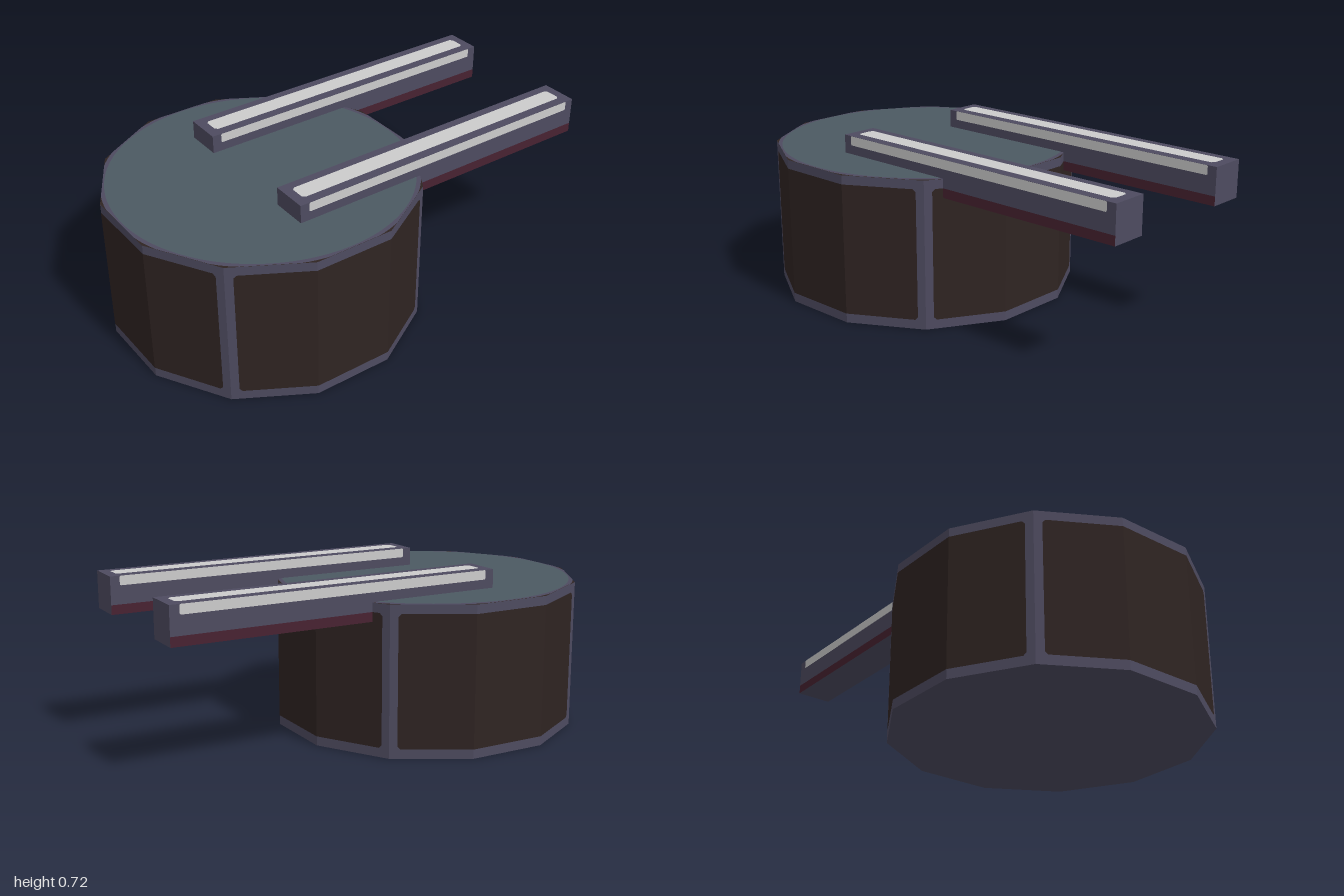
import * as THREE from 'three';

const mat = (name, color) => new THREE.MeshStandardMaterial({ name, color });

export function createModel() {
  const frame = mat('purpleGreyFrame', 0x4e4b60);
  const brown = mat('darkBrownPanel', 0x2f2422);
  const slate = mat('slateTop', 0x4c5962);
  const light = mat('lightStripe', 0xcccccc);
  const maroon = mat('maroonTrim', 0x482231);

  const root = new THREE.Group();
  root.name = 'drumWithRails';
  const add = (parent, name, geo, material, x = 0, y = 0, z = 0) => {
    const m = new THREE.Mesh(geo, material);
    m.name = name;
    m.position.set(x, y, z);
    parent.add(m);
    return m;
  };

  // Twelve-sided drum, flat faces toward the axes
  const drum = new THREE.Group();
  drum.name = 'drum';
  drum.position.z = 0.36;
  root.add(drum);
  const apothem = 0.639, height = 0.638;
  const radius = apothem / Math.cos(Math.PI / 12);
  const body = new THREE.CylinderGeometry(radius, radius, height, 12, 1, false, Math.PI / 12).toNonIndexed();
  body.computeVertexNormals();
  add(drum, 'drumBody', body, [frame, brown, frame], 0, height / 2, 0);

  // Round lid layers, clipped by the drum's outline
  const lid = (maxR) => {
    const pts = [];
    for (let i = 0; i < 144; i++) {
      const a = (i / 144) * Math.PI * 2;
      const step = Math.PI / 6;
      const off = a - Math.round(a / step) * step;
      const r = Math.min(maxR, apothem / Math.cos(off));
      pts.push(new THREE.Vector2(r * Math.cos(a), r * Math.sin(a)));
    }
    return new THREE.ShapeGeometry(new THREE.Shape(pts)).rotateX(-Math.PI / 2);
  };
  add(drum, 'lidRim', lid(0.65), frame, 0, 0.639, 0);
  add(drum, 'lidTop', lid(0.632), slate, 0, 0.64, 0);

  // Four wall panels, each folded over three faces, with clipped corners
  const half = 0.64 * Math.tan(Math.PI / 12), corner = 0.64 / Math.cos(Math.PI / 12) * Math.SQRT1_2;
  const along = (d) => [-corner + d * Math.cos(Math.PI / 6), corner + d * 0.5];
  const leftCols = [[...along(0.034), 0.012], [...along(0.046), 0], [-half, 0.64, 0]];
  const cols = [...leftCols, ...leftCols.slice().reverse().map(([x, z, c]) => [-x, z, c])];
  const verts = [];
  for (let i = 0; i < cols.length - 1; i++) {
    const [x0, z0, c0] = cols[i], [x1, z1, c1] = cols[i + 1];
    const bl = [x0, 0.04 + c0, z0], tl = [x0, 0.6 - c0, z0];
    const br = [x1, 0.04 + c1, z1], tr = [x1, 0.6 - c1, z1];
    verts.push(...bl, ...br, ...tr, ...bl, ...tr, ...tl);
  }
  const panel = new THREE.BufferGeometry();
  panel.setAttribute('position', new THREE.Float32BufferAttribute(verts, 3));
  panel.computeVertexNormals();
  for (let q = 0; q < 4; q++) add(drum, 'wallPanel', panel, brown).rotation.y = q * Math.PI / 2;

  // Flat stripe with small clipped corners, facing +z
  const stripe = (w, h, c) => {
    const x = w / 2, y = h / 2;
    return new THREE.ShapeGeometry(new THREE.Shape([
      [-x + c, -y], [x - c, -y], [x, -y + c], [x, y - c],
      [x - c, y], [-x + c, y], [-x, y - c], [-x, -y + c],
    ].map(([a, b]) => new THREE.Vector2(a, b))));
  };
  const topStripe = stripe(0.08, 1.36, 0.012).rotateX(-Math.PI / 2);
  const sideStripe = stripe(1.36, 0.04, 0.004);

  // Two rails reaching out behind the drum
  for (const s of [1, -1]) {
    const rail = new THREE.Group();
    rail.name = s > 0 ? 'leftRail' : 'rightRail';
    rail.position.set(s * 0.32, 0, -0.28);
    root.add(rail);
    add(rail, 'railBeam', new THREE.BoxGeometry(0.16, 0.119, 1.44), frame, 0, 0.6595, 0);
    add(rail, 'railTrim', new THREE.BoxGeometry(0.16, 0.04, 1.44),
      [maroon, maroon, frame, frame, frame, frame], 0, 0.58, 0);
    add(rail, 'topStripe', topStripe, light, 0, 0.7205, 0);
    for (const e of [1, -1])
      add(rail, 'sideStripe', sideStripe, light, e * 0.0815, 0.699, 0).rotation.y = e * Math.PI / 2;
  }
  return root;
}
